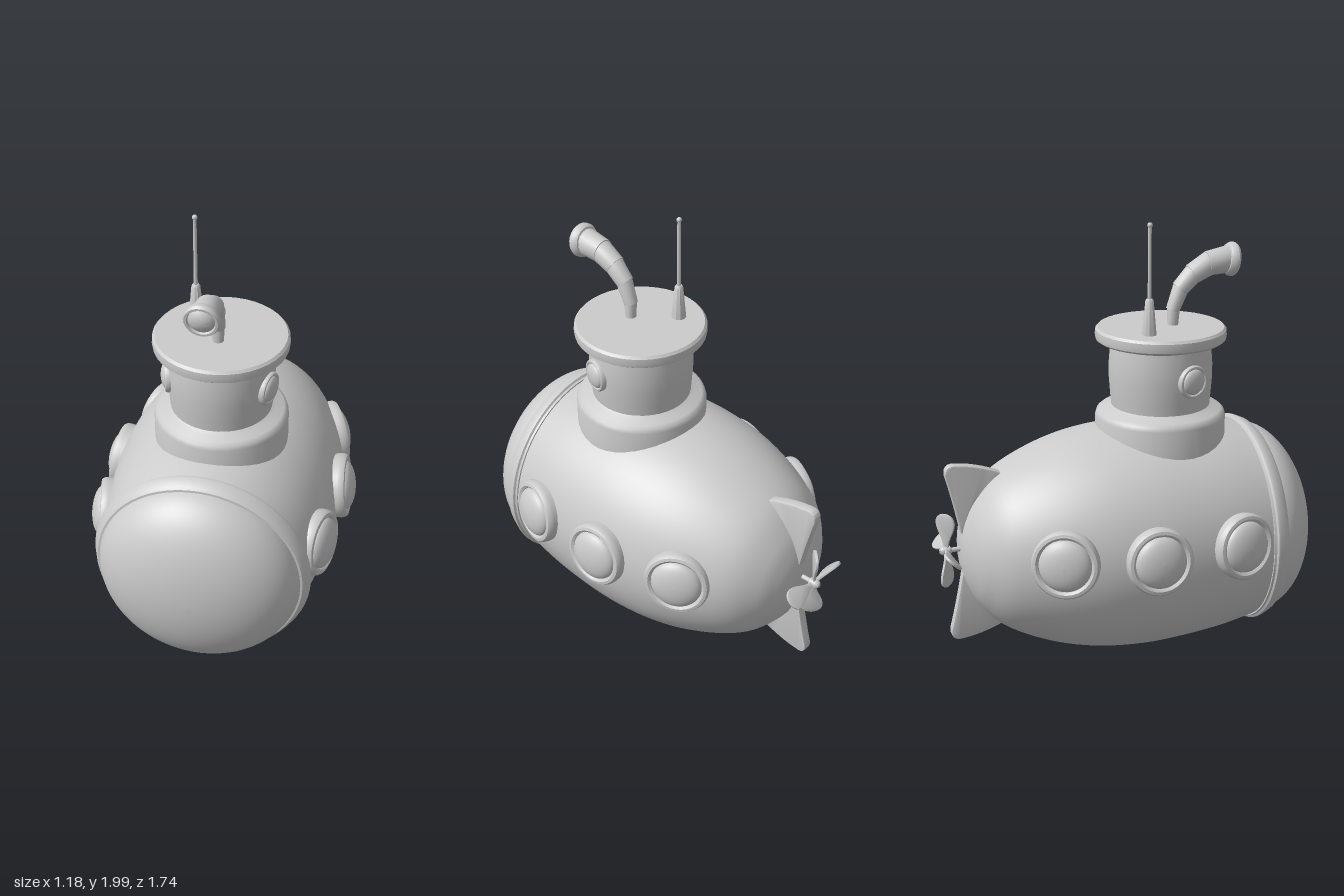
import * as THREE from 'three';
import { toCreasedNormals } from 'three/addons/utils/BufferGeometryUtils.js';

const AXIS_Y = 0.54, TOWER_Z = 0.18;
const mat = new THREE.MeshStandardMaterial({ color: 0xcccccc, side: THREE.DoubleSide });

const vec2 = (list) => list.map(([x, y]) => new THREE.Vector2(x, y));
const smooth = (list, n) => new THREE.SplineCurve(vec2(list)).getPoints(n);

function add(parent, name, geo, x = 0, y = 0, z = 0) {
  const mesh = new THREE.Mesh(geo, mat);
  mesh.name = name;
  mesh.position.set(x, y, z);
  parent.add(mesh);
  return mesh;
}

// Turned part with crisp edges; profile is [radius, height], bottom to top
const turned = (profile, seg = 32) =>
  toCreasedNormals(new THREE.LatheGeometry(vec2(profile), seg), 0.6);

// Dome profile from the rim up to the apex
function domePoints(r, h, y0, n = 12) {
  return Array.from({ length: n + 1 }, (_, i) => {
    const a = (i / n) * Math.PI / 2;
    return new THREE.Vector2(i === n ? 0 : r * Math.cos(a), y0 + h * Math.sin(a));
  });
}

// Round window: frame plus bulging glass, facing local +y
function porthole(name, r) {
  const g = new THREE.Group();
  g.name = name;
  add(g, 'windowFrame', turned([
    [r * 0.97, -r * 0.4], [r, 0], [r * 0.99, r * 0.12], [r * 0.94, r * 0.2],
    [r * 0.85, r * 0.22], [r * 0.78, r * 0.17], [r * 0.76, 0.0],
  ], 36));
  add(g, 'windowGlass', new THREE.LatheGeometry(domePoints(r * 0.77, r * 0.32, r * 0.12, 8), 36));
  return g;
}

// Window turned to face outward: yaw swings towards the front, pitch upwards
function placeWindow(parent, name, r, side, [x, y, z], yaw, pitch) {
  const w = porthole(name, r);
  const normal = new THREE.Vector3(
    side * Math.cos(yaw) * Math.cos(pitch), Math.sin(pitch), Math.sin(yaw) * Math.cos(pitch));
  w.quaternion.setFromUnitVectors(new THREE.Vector3(0, 1, 0), normal);
  w.position.set(side * x, y, z);
  parent.add(w);
}

function makeHull(root) {
  const body = smooth([
    [0, -0.775], [0.08, -0.769], [0.16, -0.747], [0.25, -0.7], [0.355, -0.6], [0.445, -0.42],
    [0.502, -0.22], [0.525, 0], [0.52, 0.2], [0.5, 0.4], [0.462, 0.6],
  ], 48);
  body[0].x = 0;
  add(root, 'hull', new THREE.LatheGeometry(body, 64).rotateX(Math.PI / 2), 0, AXIS_Y);
  add(root, 'noseDome',
    new THREE.LatheGeometry(domePoints(0.455, 0.268, 0.605, 20), 64).rotateX(Math.PI / 2), 0, AXIS_Y);
  add(root, 'noseRing', turned([
    [0.45, 0.552], [0.478, 0.554], [0.48, 0.564], [0.489, 0.57], [0.49, 0.58],
    [0.472, 0.622], [0.462, 0.632], [0.445, 0.634], [0.43, 0.62],
  ], 64).rotateX(Math.PI / 2), 0, AXIS_Y);

  // Three windows along each flank
  for (const side of [1, -1]) {
    placeWindow(root, 'frontWindow', 0.15, side, [0.49, 0.605, 0.395], 0.26, 0.12);
    placeWindow(root, 'middleWindow', 0.15, side, [0.525, 0.605, -0.015], -0.04, 0.12);
    placeWindow(root, 'rearWindow', 0.15, side, [0.432, 0.61, -0.41], -0.45, 0.12);
  }
}

function makeTower(root) {
  const tower = new THREE.Group();
  tower.name = 'tower';
  tower.position.z = TOWER_Z;
  root.add(tower);
  add(tower, 'towerBase', turned([
    [0.296, 0.88], [0.296, 1.1], [0.29, 1.118], [0.275, 1.13], [0.24, 1.138], [0.225, 1.15], [0.2, 1.16],
  ], 40));
  add(tower, 'towerNeck', turned([
    [0.222, 1.13], [0.228, 1.2], [0.234, 1.28], [0.234, 1.34], [0.229, 1.4], [0.223, 1.45],
  ], 40));
  add(tower, 'towerCap', turned([
    [0.2, 1.425], [0.235, 1.432], [0.25, 1.442], [0.28, 1.446], [0.293, 1.456], [0.296, 1.475],
    [0.294, 1.497], [0.284, 1.508], [0, 1.508],
  ], 40));
  for (const side of [1, -1])
    placeWindow(tower, 'towerWindow', 0.075, side, [0.22, 1.3, 0.067], 0.29, 0);
}

// Stepped, bending pipe ending in a flared eyepiece
function makePeriscope(root) {
  const g = new THREE.Group();
  g.name = 'periscope';
  root.add(g);
  const path = [[1.5, 0.237], [1.585, 0.24], [1.675, 0.275], [1.735, 0.335], [1.775, 0.41], [1.787, 0.5]]
    .map(([y, z]) => new THREE.Vector3(0, y, z));
  const up = new THREE.Vector3(0, 1, 0);
  path.slice(0, -1).forEach((a, i) => {
    const dir = path[i + 1].clone().sub(a);
    const len = dir.length(), r = 0.023 + i * 0.008;
    const s = add(g, 'pipeSection', turned([
      [0, -0.012], [r, -0.012], [r + 0.006, len - 0.004], [r + 0.003, len + 0.01], [0, len + 0.012],
    ], 16), a.x, a.y, a.z);
    s.quaternion.setFromUnitVectors(up, dir.normalize());
  });
  const eye = add(g, 'eyepiece', turned([
    [0.05, -0.015], [0.066, -0.01], [0.076, 0.005], [0.077, 0.022], [0.07, 0.033],
    [0.06, 0.033], [0.056, 0.024], [0.045, 0.036], [0.025, 0.045], [0, 0.048],
  ], 24), 0, 1.788, 0.5);
  eye.rotation.x = Math.PI / 2 + 0.13;
}

function makeAntenna(root) {
  const g = new THREE.Group();
  g.name = 'antenna';
  g.position.set(-0.135, 0, 0.075);
  root.add(g);
  add(g, 'antennaBase', turned([
    [0.034, 1.5], [0.031, 1.53], [0.019, 1.66], [0.014, 1.668], [0, 1.668],
  ], 10));
  add(g, 'antennaRod', new THREE.CylinderGeometry(0.008, 0.009, 0.34, 8), 0, 1.82, 0);
  add(g, 'antennaTip', new THREE.SphereGeometry(0.012, 10, 8), 0, 1.988, 0);
}

// Flat outline extruded about its own middle plane
function plate(shape, depth, bevel) {
  return toCreasedNormals(new THREE.ExtrudeGeometry(shape, {
    depth, bevelEnabled: true, bevelSize: bevel, bevelThickness: bevel, bevelSegments: 2, curveSegments: 10,
  }).translate(0, 0, -depth / 2), 0.6);
}

function makeTail(root) {
  // Fins above and below; outline drawn as (distance behind centre, height)
  const fin = new THREE.Shape();
  fin.moveTo(0.53, 0.33);
  fin.lineTo(0.595, 0.363);
  fin.quadraticCurveTo(0.7, 0.408, 0.79, 0.413);
  fin.quadraticCurveTo(0.828, 0.415, 0.822, 0.37);
  fin.quadraticCurveTo(0.79, 0.25, 0.762, 0.1);
  fin.lineTo(0.7, 0.1);
  fin.closePath();
  const finGeo = plate(fin, 0.032, 0.007).rotateY(Math.PI / 2);
  add(root, 'upperFin', finGeo, 0, AXIS_Y + 0.003);
  add(root, 'lowerFin', finGeo, 0, AXIS_Y + 0.003).rotation.z = Math.PI;

  // Four-bladed propeller
  const prop = new THREE.Group();
  prop.name = 'propeller';
  prop.position.set(0, 0.56, -0.835);
  root.add(prop);
  add(prop, 'shaft', new THREE.CylinderGeometry(0.011, 0.011, 0.11, 12).rotateX(Math.PI / 2), 0, 0, 0.025);
  add(prop, 'hub', turned([
    [0, -0.028], [0.014, -0.027], [0.021, -0.016], [0.021, 0.016], [0.014, 0.022], [0, 0.022],
  ], 16).rotateX(Math.PI / 2));
  const blade = new THREE.Shape();
  blade.moveTo(-0.008, 0.01);
  blade.bezierCurveTo(-0.012, 0.07, -0.045, 0.09, -0.045, 0.135);
  blade.bezierCurveTo(-0.045, 0.185, 0.045, 0.185, 0.045, 0.135);
  blade.bezierCurveTo(0.045, 0.09, 0.012, 0.07, 0.008, 0.01);
  blade.closePath();
  const bladeGeo = plate(blade, 0.006, 0.003).rotateY(Math.PI / 4);
  for (let i = 0; i < 4; i++) add(prop, 'blade', bladeGeo).rotation.z = i * Math.PI / 2;
}

export function createModel() {
  const root = new THREE.Group();
  root.name = 'submarine';
  makeHull(root);
  makeTower(root);
  makePeriscope(root);
  makeAntenna(root);
  makeTail(root);
  return root;
}
